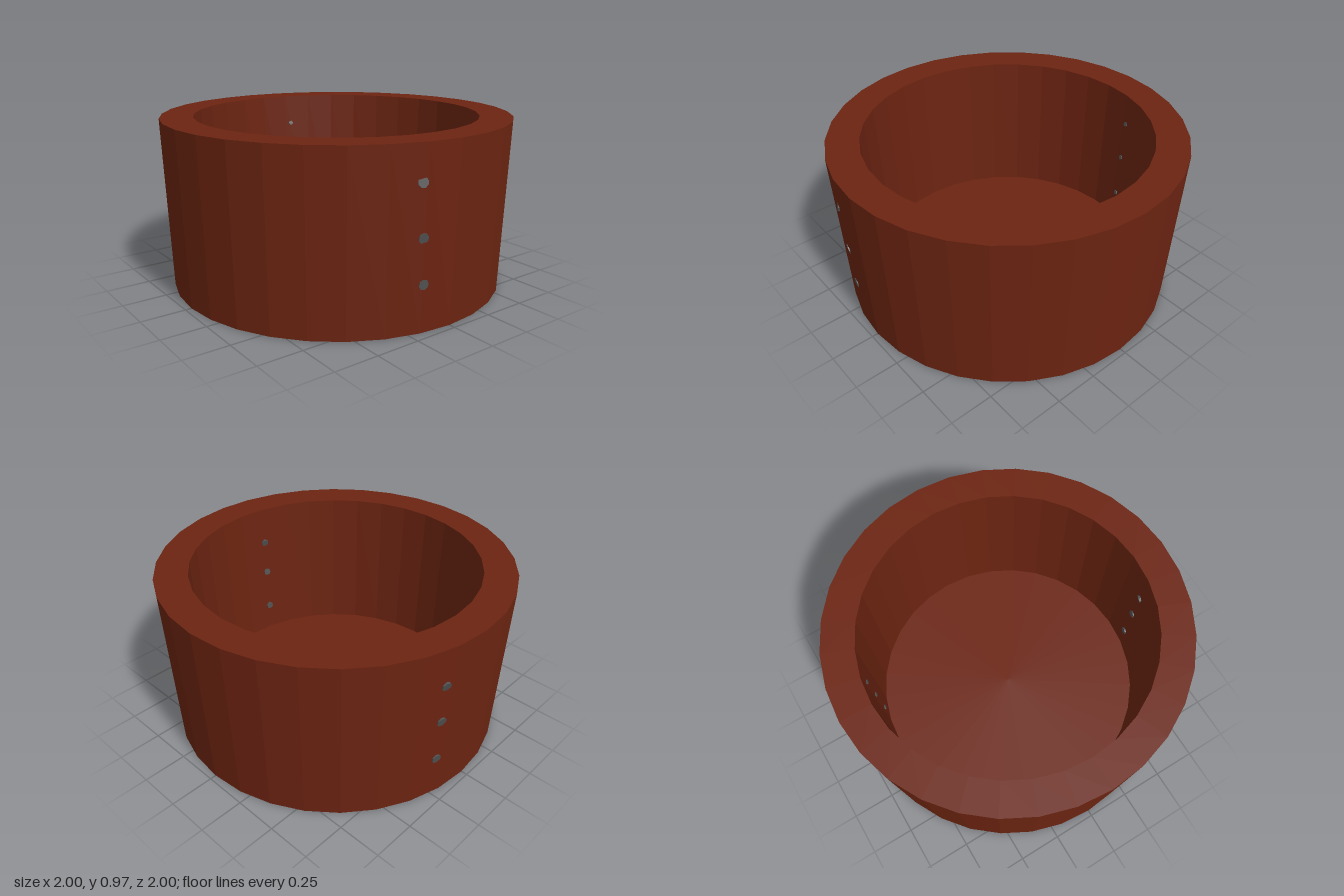
import * as THREE from 'three';

export function createModel() {
  const model = new THREE.Group();
  model.name = 'cup';
  const clay = new THREE.MeshStandardMaterial({ color: 0x6c2411, flatShading: true });
  clay.name = 'redBrown';
  const metal = new THREE.MeshStandardMaterial({ color: 0x525252, flatShading: true });
  metal.name = 'grey';

  // Tapered thick-walled tub: underside, outer wall, rim, inner wall, floor
  const profile = [[0, 0], [0.965, 0], [1, 0.97], [0.815, 0.97], [0.79, 0.1], [0, 0.1]]
    .map(([r, y]) => new THREE.Vector2(r, y));
  const tub = new THREE.Mesh(new THREE.LatheGeometry(profile, 32), clay);
  tub.name = 'tub';
  model.add(tub);

  // Pins run through the wall, from an outer point to an inner point
  const up = new THREE.Vector3(0, 1, 0);
  function pin(name, outer, inner, outerRadius, innerRadius) {
    const span = outer.clone().sub(inner);
    const mesh = new THREE.Mesh(
      new THREE.CylinderGeometry(outerRadius, innerRadius, span.length(), 8), metal);
    mesh.position.copy(outer).add(inner).multiplyScalar(0.5);
    mesh.quaternion.setFromUnitVectors(up, span.normalize());
    mesh.name = name;
    model.add(mesh);
  }
  const onWall = (angle, radius, y) =>
    new THREE.Vector3(radius * Math.sin(angle), y, radius * Math.cos(angle));
  const outerR = y => 0.967 + 0.035 * y / 0.97;
  const innerR = y => 0.779 + 0.029 * (y - 0.1) / 0.87;

  // Each row: outer angle, outer height, inner angle, inner height (degrees from +z)
  const front = [[-12.7, 0.78, -11, 0.74], [-11.6, 0.5, -11, 0.53], [-10.8, 0.26, -11, 0.27]];
  const back = [[166, 0.74, 166.4, 0.79], [166, 0.51, 166.4, 0.55], [166, 0.25, 166.4, 0.28]];
  const place = (rows, name, innerRadius) => rows.forEach(([oa, oy, ia, iy], i) => pin(
    name + (i + 1),
    onWall(THREE.MathUtils.degToRad(oa), outerR(oy), oy),
    onWall(THREE.MathUtils.degToRad(ia), innerR(iy), iy),
    0.028, innerRadius));
  place(front, 'frontPin', 0.022);
  place(back, 'backPin', 0.014);

  return model;
}
